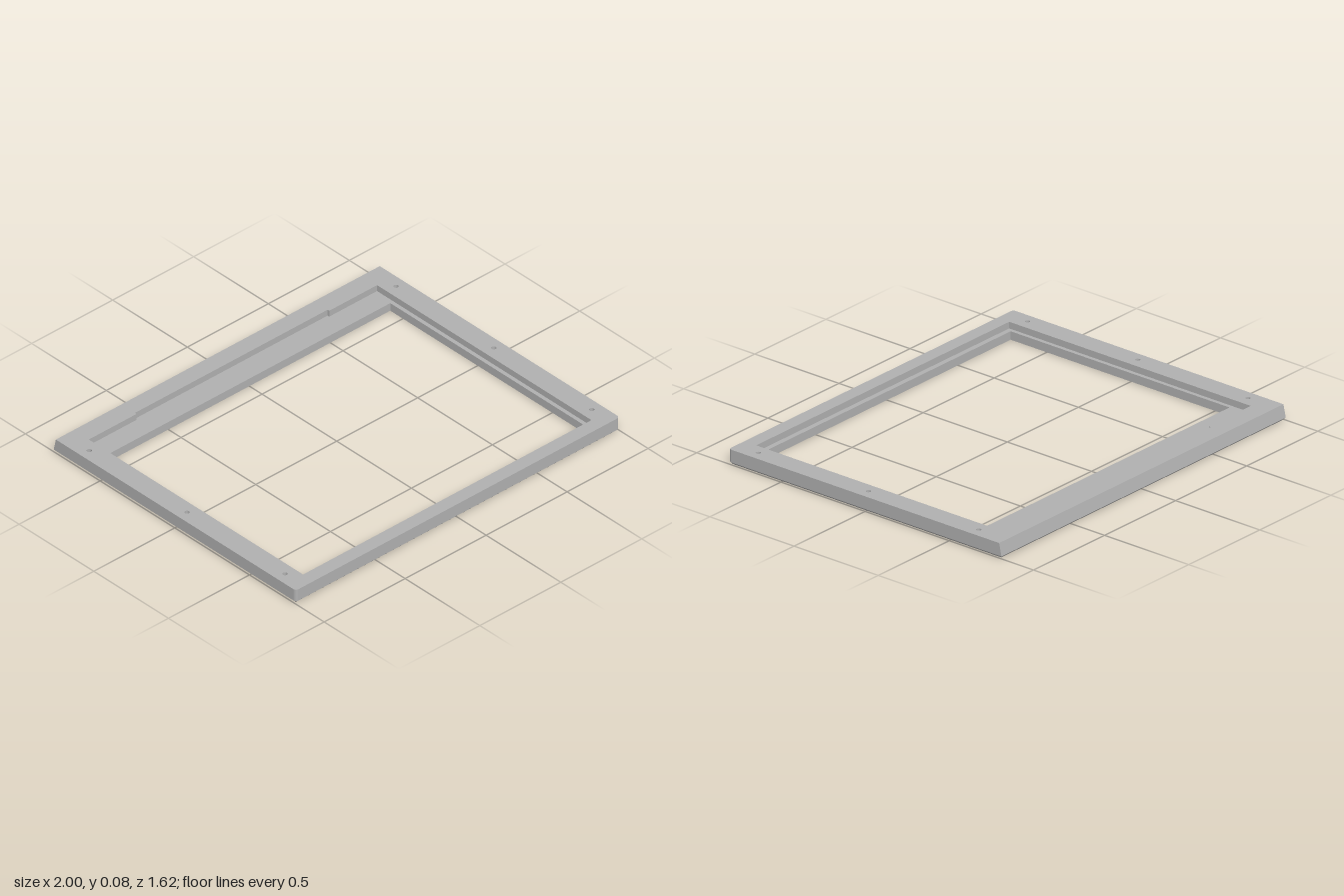
import * as THREE from 'three';

const TOP = 0.075, LEDGE = 0.042, CHAMFER = 0.012;
const BACK = -0.81, FRONT = 0.81;

// Plan points are given as [x, z]; shapes are drawn with y = -z
const toPoints = (list) => list.map(([x, z]) => new THREE.Vector2(x, -z));

// Outer outline: square back corners, small rounded front corners
function outline() {
  const r = 0.016, s = new THREE.Shape();
  s.moveTo(-1 + r, -FRONT);
  s.lineTo(1 - r, -FRONT);
  s.absarc(1 - r, -FRONT + r, r, -Math.PI / 2, 0, false);
  s.lineTo(1, -BACK);
  s.lineTo(-1, -BACK);
  s.lineTo(-1, -FRONT + r);
  s.absarc(-1 + r, -FRONT + r, r, Math.PI, Math.PI * 1.5, false);
  return s;
}

// Extrude a plan shape between two heights, then reshape its outer vertices
function layer(shape, y0, y1, reshape) {
  const g = new THREE.ExtrudeGeometry(shape, { depth: y1 - y0, bevelEnabled: false, curveSegments: 8 });
  g.rotateX(-Math.PI / 2).translate(0, y0, 0);
  const p = g.attributes.position, v = new THREE.Vector3();
  for (let i = 0; i < p.count; i++) {
    reshape(v.fromBufferAttribute(p, i));
    p.setXYZ(i, v.x, v.y, v.z);
  }
  g.computeVertexNormals();
  return g;
}

// The back face leans forward towards the top
function leanBack(v) {
  if (v.z < -0.8) v.z += 0.014 * Math.max(0, (v.y - CHAMFER) / (TOP - CHAMFER));
}

// The underside is drawn in to form a chamfer all round
function chamferBottom(v) {
  if (v.y > 0.001) return;
  v.x = THREE.MathUtils.clamp(v.x, -1 + CHAMFER, 1 - CHAMFER);
  v.z = THREE.MathUtils.clamp(v.z, BACK + CHAMFER, FRONT - CHAMFER);
}

export function createModel() {
  const group = new THREE.Group();
  group.name = 'frame';
  const grey = new THREE.MeshStandardMaterial({ color: 0xb0b0b0 });
  grey.name = 'grey';
  const add = (name, geometry) => {
    const mesh = new THREE.Mesh(geometry, grey);
    mesh.name = name;
    group.add(mesh);
  };

  // Central opening through the lower layers
  const opening = () => new THREE.Path(toPoints([[-0.87, -0.585], [0.87, -0.585], [0.87, 0.715], [-0.87, 0.715]]));

  // Upper rim with a stepped recess and blind screw holes
  const rim = outline();
  rim.holes.push(new THREE.Path(toPoints([
    [-0.89, -0.695], [-0.595, -0.695], [-0.595, -0.706], [0.595, -0.706],
    [0.595, -0.695], [0.89, -0.695], [0.89, 0.74], [-0.89, 0.74],
  ])));
  for (const x of [-0.947, 0.947]) {
    for (const z of [-0.63, 0.025, 0.68]) {
      rim.holes.push(new THREE.Path().absarc(x, -z, 0.012, 0, Math.PI * 2, true));
    }
  }
  add('upperRim', layer(rim, LEDGE, TOP, leanBack));

  // Lower body, whose top forms the ledge and the floors of the holes
  const body = outline();
  body.holes.push(opening());
  add('ledgeBody', layer(body, CHAMFER, LEDGE, leanBack));

  // Chamfered base
  const base = outline();
  base.holes.push(opening());
  add('chamferedBase', layer(base, 0, CHAMFER, chamferBottom));

  return group;
}
